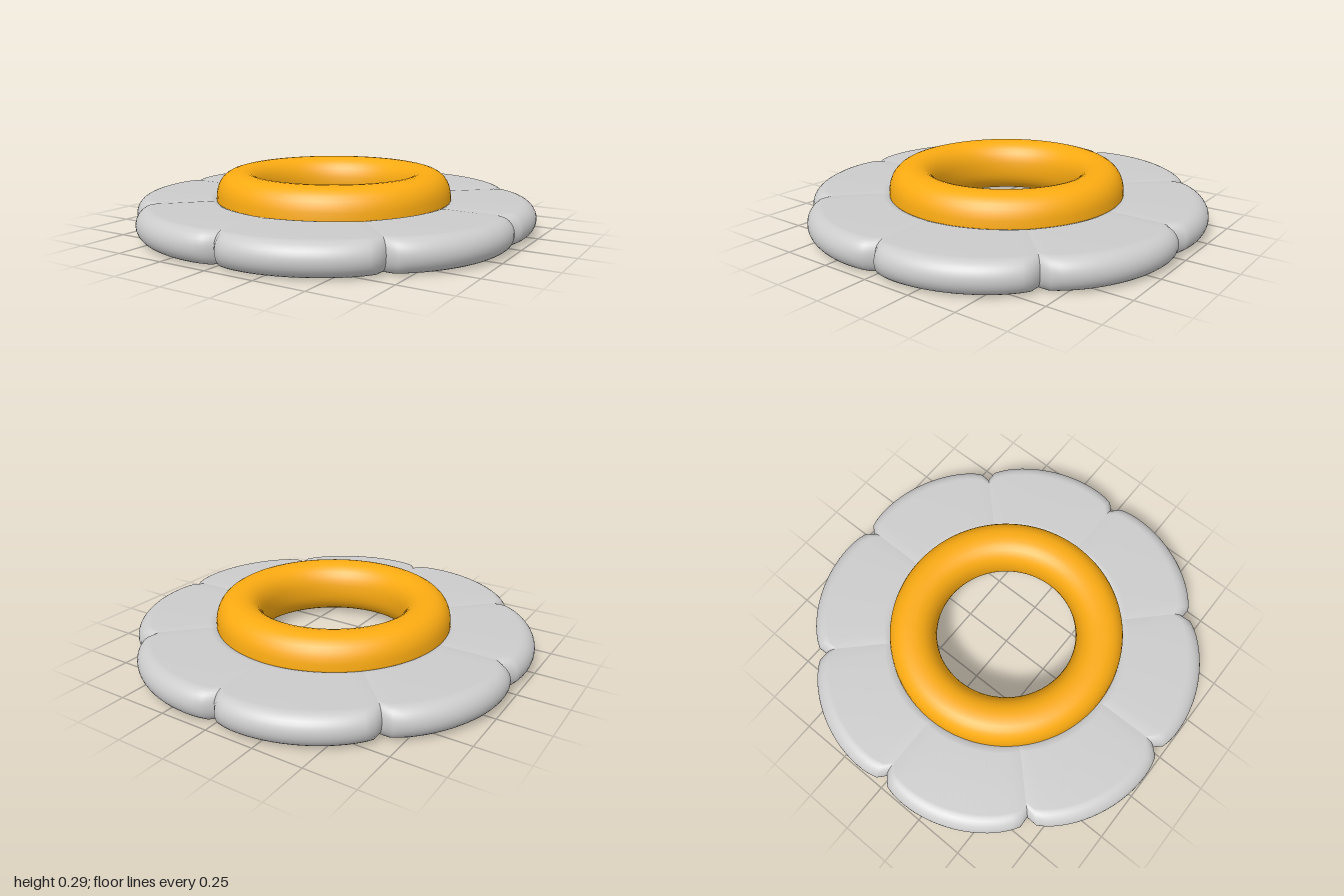
import * as THREE from 'three';

const PETALS = 8;
const INNER = 0.56;

// Rounded slab cross-section, starting and ending at the hidden inner rim
function slabProfile(inner, outer, height, round) {
  const pts = [];
  const h = height / 2;
  const steps = 8;
  const arc = (cx, from, to) => {
    for (let i = 0; i <= steps; i++) {
      const a = from + ((to - from) * i) / steps;
      pts.push(new THREE.Vector2(cx + round * Math.cos(a), h + h * Math.sin(a)));
    }
  };
  arc(inner + round, Math.PI, Math.PI * 1.5);
  pts.push(new THREE.Vector2((inner + outer) / 2, 0));
  arc(outer - round, -Math.PI / 2, 0);
  arc(outer - round, 0, Math.PI / 2);
  pts.push(new THREE.Vector2((inner + outer) / 2, height));
  arc(inner + round, Math.PI / 2, Math.PI);
  // drop the doubled point at the outer rim
  return pts.filter((p, i) => i === 0 || p.distanceTo(pts[i - 1]) > 1e-5);
}

// One eighth of the disc, its outer rim pushed into a scallop
function petalGeometry() {
  const geo = new THREE.LatheGeometry(slabProfile(INNER, 1, 0.157, 0.075), 20, 0, (Math.PI * 2) / PETALS);
  const pos = geo.attributes.position;
  for (let i = 0; i < pos.count; i++) {
    const x = pos.getX(i), y = pos.getY(i), z = pos.getZ(i);
    const r = Math.hypot(x, z);
    const angle = Math.atan2(x, z);
    const bulge = Math.pow(Math.abs(Math.sin((angle * PETALS) / 2)), 0.36);
    const rim = 0.937 + 0.083 * bulge;
    const k = (INNER + ((r - INNER) / (1 - INNER)) * (rim - INNER)) / r;
    // the top sinks slightly towards the seams
    const sink = y > 0.079 ? 1 - 0.04 * (1 - bulge) * ((y - 0.079) / 0.079) : 1;
    pos.setXYZ(i, x * k, y * sink, z * k);
  }
  geo.computeVertexNormals();
  return geo;
}

// Slightly squared oval tube
function ringGeometry() {
  const pts = [];
  const n = 32;
  const soft = (v) => Math.sign(v) * Math.pow(Math.abs(v), 0.88);
  for (let i = 0; i <= n; i++) {
    const a = (i / n) * Math.PI * 2;
    pts.push(new THREE.Vector2(0.48 + 0.12 * soft(Math.cos(a)), 0.152 + 0.138 * soft(Math.sin(a))));
  }
  return new THREE.LatheGeometry(pts, 80);
}

export function createModel() {
  const model = new THREE.Group();
  model.name = 'flowerRing';

  // Petals
  const petals = new THREE.Group();
  petals.name = 'petals';
  const grey = new THREE.MeshStandardMaterial({ color: 0xcccccc });
  const petal = petalGeometry();
  for (let i = 0; i < PETALS; i++) {
    const mesh = new THREE.Mesh(petal, grey);
    mesh.name = 'petal' + (i + 1);
    mesh.rotation.y = (i * Math.PI * 2) / PETALS;
    petals.add(mesh);
  }
  model.add(petals);

  // Centre ring
  const ring = new THREE.Mesh(ringGeometry(), new THREE.MeshStandardMaterial({ color: 0xfbab12 }));
  ring.name = 'centreRing';
  model.add(ring);

  return model;
}
